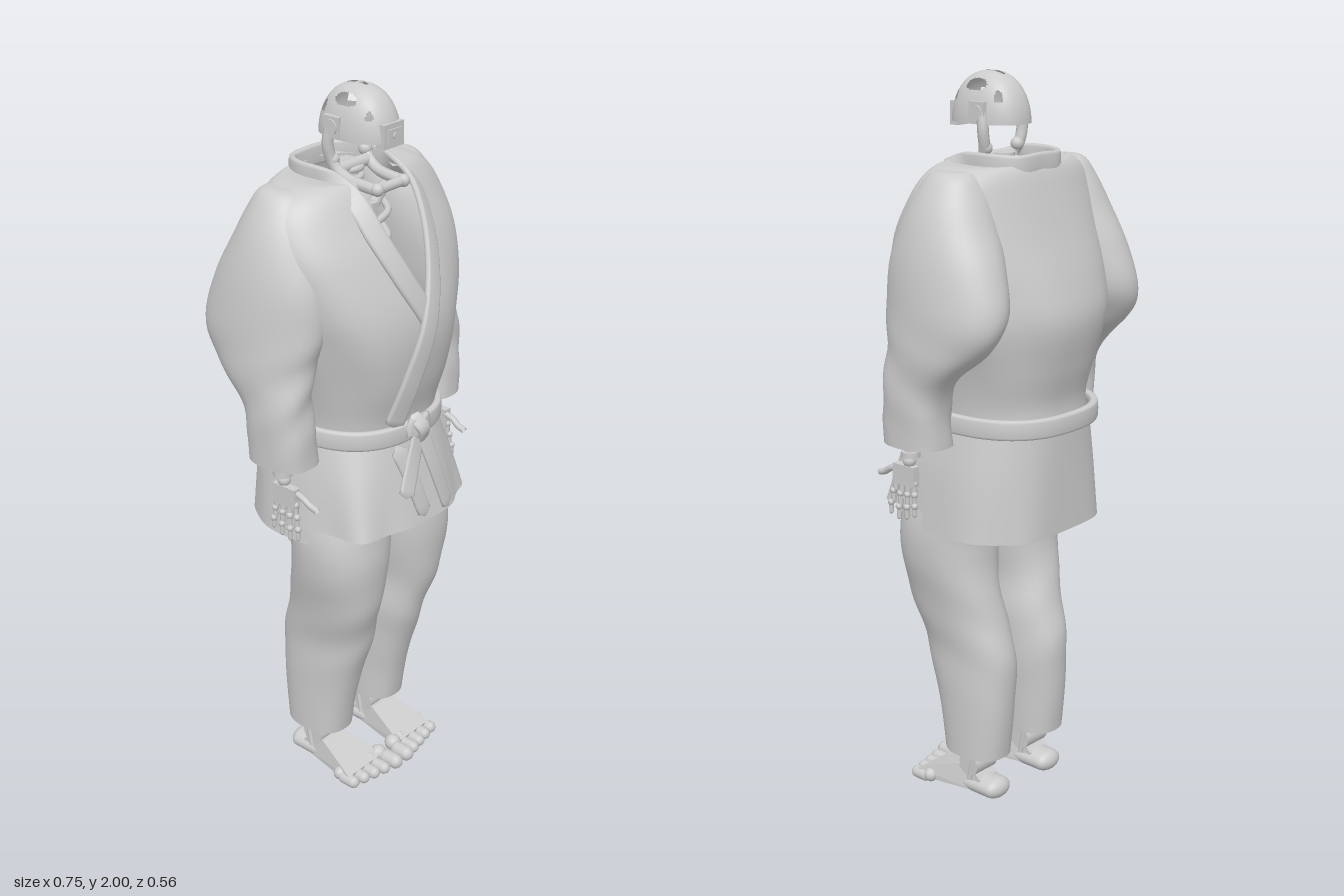
import * as THREE from 'three';

const grey = new THREE.MeshStandardMaterial({ color: 0xcccccc, side: THREE.DoubleSide });
grey.name = 'plain grey';
const V = (x, y, z) => new THREE.Vector3(x, y, z);
const spow = (v, p) => Math.sign(v) * Math.pow(Math.abs(v), p);
const { sin, cos, PI, abs, max, min } = Math;

function add(parent, name, geo, x = 0, y = 0, z = 0, rx = 0, ry = 0, rz = 0) {
  const m = new THREE.Mesh(geo, grey);
  m.name = name;
  m.position.set(x, y, z);
  m.rotation.set(rx, ry, rz);
  parent.add(m);
  return m;
}

// Smooth surface from fn(u, v) -> Vector3; wraps round in v when closed
function grid(nu, nv, fn, closed = true, skip = null) {
  const pos = [], idx = [], cols = closed ? nv : nv + 1;
  for (let i = 0; i <= nu; i++)
    for (let j = 0; j < cols; j++) pos.push(...fn(i / nu, j / nv).toArray());
  for (let i = 0; i < nu; i++)
    for (let j = 0; j < nv; j++) {
      if (skip && skip(fn((i + 0.5) / nu, (j + 0.5) / nv))) continue;
      const a = i * cols + j, b = i * cols + (j + 1) % cols;
      idx.push(a, b, b + cols, a, b + cols, a + cols);
    }
  const g = new THREE.BufferGeometry();
  g.setAttribute('position', new THREE.Float32BufferAttribute(pos, 3));
  g.setIndex(idx);
  g.computeVertexNormals();
  return g;
}

// Smoothly interpolated row of a table of cross-sections
function rowAt(rows, u) {
  const f = u * (rows.length - 1), i = min(Math.floor(f), rows.length - 2), t = f - i;
  const r = k => rows[max(0, min(rows.length - 1, k))];
  return rows[0].map((_, c) => {
    const a = r(i)[c], b = r(i + 1)[c];
    const m0 = (b - r(i - 1)[c]) / 2, m1 = (r(i + 2)[c] - a) / 2;
    return a + m0 * t + (3 * (b - a) - 2 * m0 - m1) * t * t + (m0 + m1 - 2 * (b - a)) * t * t * t;
  });
}

// Rows: [y, centre x, front z, back z, half width, squareness, front gap]
function section(rows, u, th, fold) {
  const [y, cx, zf, zb, rx, p] = rowAt(rows, u);
  const k = 1 + (fold ? fold(th, y) : 0);
  return V(cx + k * rx * spow(sin(th), p), y, (zf + zb) / 2 + k * (zf - zb) / 2 * spow(cos(th), p));
}
const loft = (rows, nu, nv, fold) => grid(nu, nv, (u, v) => section(rows, u, v * 2 * PI, fold));

// Soft flat band along a path, facing outward and leaning back with the upper chest
function band(points, w, t, n = 48, closed = false) {
  const c = new THREE.CatmullRomCurve3(points, closed);
  return grid(n, 12, (u, v) => {
    const p = c.getPointAt(u), T = c.getTangentAt(u);
    const lean = 0.45 * max(0, p.y - 1.4) * min(1, max(0, p.z * 8));
    const N = V(p.x, lean, p.z).normalize(), S = T.clone().cross(N).normalize();
    N.crossVectors(S, T).normalize();
    const e = (u === 0 || u === 1) && !closed ? 0.05 : 1, a = v * 2 * PI;
    return p.addScaledVector(S, w * e * spow(cos(a), 0.5)).addScaledVector(N, t * e * spow(sin(a), 0.5));
  });
}
const tube = (pts, r, n = 24) => new THREE.TubeGeometry(new THREE.CatmullRomCurve3(pts), n, r, 8);
const cyl = (a, b, h, n = 20) => new THREE.CylinderGeometry(a, b, h, n);

const torsoRows = [
  [1.08, 0, 0.20, -0.235, 0.205, 0.8, 0], [1.16, 0, 0.212, -0.228, 0.21, 0.8, 0],
  [1.26, 0, 0.24, -0.252, 0.232, 0.82, 0], [1.38, 0, 0.258, -0.274, 0.272, 0.88, 0],
  [1.48, 0, 0.247, -0.252, 0.302, 0.92, 0.004], [1.6, 0, 0.20, -0.208, 0.318, 0.92, 0.06],
  [1.69, 0, 0.15, -0.178, 0.302, 0.92, 0.085], [1.75, 0, 0.115, -0.158, 0.262, 0.9, 0.092],
  [1.776, 0, 0.095, -0.143, 0.2, 0.88, 0.09], [1.772, 0, 0.085, -0.135, 0.112, 0.8, 0.085]];
const torsoFold = (t, y) => 0.014 * sin(7 * t + 9 * y) * sin(PI * min(1, max(0, (1.72 - y) / 0.6)));

// Depth of the jacket front at a given place
function frontZ(x, y) {
  let u = 0;
  while (u < 1 && rowAt(torsoRows, u)[0] < y) u += 0.004;
  const [, , zf, zb, rx, p] = rowAt(torsoRows, min(u, 1));
  return (zf + zb) / 2 + (zf - zb) / 2 * Math.pow(max(0, 1 - Math.pow(abs(x) / rx, 2 / p)), p / 2);
}

function buildJacket(root) {
  const g = new THREE.Group();
  g.name = 'jacket';
  root.add(g);
  // Body with an open V at the front
  add(g, 'jacketBody', grid(54, 80, (u, v) => {
    const r = rowAt(torsoRows, u);
    const a = Math.asin(Math.pow(min(0.98, max(0, r[6]) / r[4]), 1 / r[5]));
    return section(torsoRows, u, a + v * (2 * PI - 2 * a), torsoFold);
  }, false));
  // Crossed lapels joined behind the neck
  const on = (x, y, d) => V(x, y, frontZ(x, y) + d);
  add(g, 'lapels', band([
    on(-0.08, 1.14, 0.008), on(-0.055, 1.28, 0.008), on(-0.01, 1.42, 0.008), on(0.05, 1.56, 0.009),
    on(0.092, 1.67, 0.009), V(0.113, 1.745, 0.10), V(0.114, 1.774, 0.02), V(0.113, 1.778, -0.08),
    V(0.078, 1.775, -0.135), V(0, 1.778, -0.143), V(-0.078, 1.775, -0.135), V(-0.113, 1.778, -0.08),
    V(-0.114, 1.774, 0.02), V(-0.116, 1.745, 0.10), on(-0.105, 1.66, 0.01), on(-0.065, 1.55, 0.009),
    on(-0.005, 1.44, 0.0), on(0.03, 1.38, -0.008)], 0.028, 0.009, 140));
  // Skirt: front and back panels with side slits
  const skirt = (name, from, to, low, zf, rx, p, amp) => {
    const rows = [[low, 0, zf, -0.24, rx, p], [(low + 1.13) / 2, 0, (zf + 0.205) / 2, -0.238, (rx + 0.21) / 2 + 0.004, (p + 0.8) / 2],
      [1.13, 0, 0.2, -0.238, 0.205, 0.8]];
    const fold = (t, y) => amp * sin(7 * t + 1) * max(0, (1.1 - y) / 0.25);
    add(g, name, grid(14, 64, (u, v) => section(rows, u, from + (to - from) * v, fold), false));
  };
  skirt('skirtFront', -1.6, 1.6, 0.855, 0.262, 0.25, 0.56, 0.035);
  skirt('skirtBack', 1.45, 2 * PI - 1.45, 0.805, 0.25, 0.252, 0.7, 0.012);
  add(g, 'skirtOverlapEdge', band([V(-0.08, 1.09, 0.22), V(-0.045, 0.98, 0.25), V(-0.01, 0.87, 0.268)], 0.022, 0.007, 12));
}

function buildBelt(root) {
  const g = new THREE.Group();
  g.name = 'belt';
  root.add(g);
  const ring = [];
  for (let i = 0; i < 28; i++) {
    const t = i / 28 * 2 * PI;
    ring.push(V(0.216 * spow(sin(t), 0.8), 1.114, -0.02 + 0.235 * spow(cos(t), 0.8)));
  }
  add(g, 'beltLoop', band(ring, 0.027, 0.012, 80, true));
  add(g, 'beltKnot', band([V(-0.045, 1.13, 0.225), V(0, 1.122, 0.238), V(0.045, 1.13, 0.225)], 0.027, 0.009, 14));
  add(g, 'knotWrap', band([V(-0.022, 1.16, 0.222), V(-0.005, 1.125, 0.25), V(0.01, 1.08, 0.236)], 0.02, 0.007, 14));
  add(g, 'beltEndRight', band([V(-0.005, 1.11, 0.234), V(-0.04, 1.04, 0.245), V(-0.085, 0.95, 0.26)], 0.024, 0.006, 16));
  add(g, 'beltEndLeft', band([V(0.005, 1.11, 0.234), V(0.035, 1.0, 0.258), V(0.08, 0.865, 0.273)], 0.024, 0.006, 16));
}

// Sleeve, hand, trouser leg and foot of one side
function buildSide(s) {
  const g = new THREE.Group();
  g.name = s > 0 ? 'leftSide' : 'rightSide';
  g.scale.x = s;
  add(g, 'sleeve', loft([
    [1.068, 0.292, 0.112, -0.075, 0.073, 0.8], [1.15, 0.298, 0.11, -0.075, 0.071, 0.8],
    [1.24, 0.3, 0.105, -0.10, 0.071, 0.85], [1.33, 0.288, 0.108, -0.2, 0.085, 0.95],
    [1.42, 0.266, 0.125, -0.248, 0.106, 1], [1.54, 0.247, 0.125, -0.218, 0.113, 1],
    [1.64, 0.228, 0.095, -0.17, 0.109, 1], [1.715, 0.215, 0.06, -0.135, 0.09, 1],
    [1.765, 0.215, 0.02, -0.1, 0.052, 1], [1.772, 0.215, -0.03, -0.05, 0.005, 1]], 48, 40,
  (t, y) => 0.035 * sin(3 * t + 45 * y) * Math.exp(-Math.pow((y - 1.25) / 0.12, 2))));
  add(g, 'trouserLeg', loft([
    [0.135, 0.113, 0.07, -0.12, 0.074, 0.85], [0.25, 0.112, 0.09, -0.133, 0.079, 0.9],
    [0.38, 0.109, 0.125, -0.14, 0.085, 0.9], [0.48, 0.11, 0.155, -0.128, 0.089, 0.9],
    [0.6, 0.125, 0.187, -0.092, 0.098, 0.9], [0.72, 0.127, 0.203, -0.072, 0.119, 0.9],
    [0.82, 0.122, 0.2, -0.08, 0.125, 0.9], [0.95, 0.108, 0.19, -0.16, 0.112, 0.9],
    [1.08, 0.1, 0.17, -0.19, 0.1, 0.9]], 50, 36,
  (t, y) => 0.022 * sin(2 * t + 34 * y) * Math.exp(-Math.pow((y - 0.5) / 0.16, 2))));

  // Mechanical hand with jointed fingers
  const hand = new THREE.Group();
  hand.name = 'hand';
  g.add(hand);
  add(hand, 'forearm', cyl(0.02, 0.016, 0.12), 0.31, 1.1, 0.03);
  add(hand, 'wrist', cyl(0.026, 0.026, 0.016), 0.31, 1.04, 0.03);
  add(hand, 'wristBall', new THREE.SphereGeometry(0.018, 14, 10), 0.31, 1.02, 0.035);
  add(hand, 'palm', new THREE.BoxGeometry(0.022, 0.056, 0.076), 0.314, 0.98, 0.045);
  for (let f = 0; f < 4; f++) {
    const z = 0.013 + f * 0.0225, len = [0.03, 0.034, 0.036, 0.033][f];
    for (let k = 0; k < 3; k++) {
      const y = 0.962 - (k + 0.5) * len, x = 0.316 + 0.003 * k, zk = z + (f - 1) * 0.003 * k;
      add(hand, 'fingerBone', new THREE.CapsuleGeometry(0.0075 - k * 0.0007, len - 0.012, 3, 8), x, y, zk);
      add(hand, 'knuckle', new THREE.SphereGeometry(0.0095, 8, 6), x, y + len / 2, zk);
    }
  }
  add(hand, 'thumb', tube([V(0.31, 0.995, 0.075), V(0.31, 0.985, 0.105), V(0.308, 0.972, 0.125), V(0.307, 0.965, 0.148)], 0.009, 12));

  // Mechanical foot
  const foot = new THREE.Group();
  foot.name = 'foot';
  g.add(foot);
  const shape = new THREE.Shape([[-0.06, 0.02], [0.14, 0.015], [0.145, 0.038], [0.1, 0.056], [0.02, 0.085], [-0.03, 0.085], [-0.06, 0.055]]
    .map(p => new THREE.Vector2(...p)));
  const geo = new THREE.ExtrudeGeometry(shape, { depth: 0.1, bevelEnabled: false });
  geo.translate(0, 0, -0.05).rotateY(-PI / 2);
  const p = geo.attributes.position;
  for (let i = 0; i < p.count; i++) p.setX(i, p.getX(i) * (0.75 + max(0, p.getZ(i)) * 5));
  geo.computeVertexNormals();
  add(foot, 'instep', geo, 0.11, 0, 0);
  const sole = add(foot, 'heelAndSole', new THREE.CapsuleGeometry(0.03, 0.17, 8, 18), 0.11, 0.032, -0.005, PI / 2);
  sole.scale.set(1.55, 1, 1);
  for (let t = 0; t < 5; t++) {
    const big = t === 0, r = big ? 0.022 : 0.018;
    add(foot, 'toe', new THREE.CapsuleGeometry(r, 0.032, 5, 12), 0.03 + t * 0.036 + (big ? -0.005 : 0), r + 0.003, 0.17 - t * 0.008, PI / 2, 0, 0);
    add(foot, 'toeJoint', new THREE.SphereGeometry(r * 1.12, 12, 8), 0.033 + t * 0.035, r + 0.01, 0.128 - t * 0.006);
  }
  add(foot, 'ankleJoint', cyl(0.034, 0.034, 0.085), 0.11, 0.095, -0.022, 0, 0, PI / 2);
  add(foot, 'shin', cyl(0.026, 0.03, 0.2), 0.11, 0.19, -0.025);
  for (const d of [-1, 1]) add(foot, 'ankleRod', cyl(0.008, 0.008, 0.14, 10), 0.11 + d * 0.04, 0.12, -0.04, -0.2, 0, 0);
  return g;
}

function buildHead(root) {
  const g = new THREE.Group();
  g.name = 'head';
  root.add(g);
  // Dome with vent slots: [x, z, half x, half z]
  const slots = [[0.054, 0.025, 0.01, 0.034], [0.054, -0.05, 0.01, 0.013], [0.054, 0.1, 0.01, 0.01], [0, 0.015, 0.008, 0.04]];
  add(g, 'skullDome', grid(56, 112, (u, v) => {
    const a = u * PI / 2, t = v * 2 * PI;
    return V(0.08 * spow(cos(a), 0.85) * spow(sin(t), 0.88), 1.87 + 0.13 * sin(a), 0.023 + 0.112 * spow(cos(a), 0.85) * spow(cos(t), 0.88));
  }, true, q => q.y > 1.925 && slots.some(([x, z, a, b]) => ((abs(q.x) - x) / a) ** 2 + ((q.z - z) / b) ** 2 < 1)));
  add(g, 'crownBar', new THREE.BoxGeometry(0.018, 0.012, 0.012), 0, 1.994, 0.02);
  add(g, 'faceBox', new THREE.BoxGeometry(0.075, 0.062, 0.026), 0, 1.887, 0.122);
  add(g, 'faceFrame', new THREE.BoxGeometry(0.05, 0.035, 0.006), 0, 1.887, 0.136);
  add(g, 'faceLens', cyl(0.009, 0.009, 0.006), 0, 1.887, 0.14, PI / 2);
  for (const s of [-1, 1]) {
    add(g, 'earHousing', new THREE.BoxGeometry(0.014, 0.055, 0.05), s * 0.077, 1.9, 0.002);
    add(g, 'earDisc', cyl(0.02, 0.02, 0.014), s * 0.081, 1.9, 0.002, 0, 0, PI / 2);
    add(g, 'jawPivot', new THREE.SphereGeometry(0.018, 14, 10), s * 0.062, 1.81, -0.012);
    add(g, 'chinBall', new THREE.SphereGeometry(0.017, 14, 10), s * 0.05, 1.757, 0.125);
    add(g, 'jawStrut', tube([V(s * 0.074, 1.9, -0.01), V(s * 0.076, 1.85, -0.016), V(s * 0.064, 1.8, -0.008), V(s * 0.056, 1.768, 0.03), V(s * 0.05, 1.755, 0.12)], 0.015));
  }
  add(g, 'chinBar', cyl(0.013, 0.013, 0.1), 0, 1.757, 0.125, 0, 0, PI / 2);
  add(g, 'jawCrossbar', cyl(0.016, 0.016, 0.12), 0, 1.785, 0, 0, 0, PI / 2);
  // Ringed neck
  add(g, 'neckCore', cyl(0.028, 0.034, 0.14), 0, 1.725, -0.02);
  for (let i = 0; i < 5; i++) add(g, 'neckRing', new THREE.TorusGeometry(0.037, 0.009, 8, 24), 0, 1.68 + i * 0.024, -0.02, PI / 2);
}

// Frame inside the open collar
function buildChest(root) {
  const g = new THREE.Group();
  g.name = 'chestFrame';
  root.add(g);
  add(g, 'spine', cyl(0.025, 0.025, 0.62), 0, 1.38, -0.08);
  add(g, 'sternum', new THREE.BoxGeometry(0.02, 0.2, 0.014), 0, 1.6, 0.07);
  for (const s of [-1, 1]) {
    add(g, 'collarbone', tube([V(s * 0.01, 1.69, 0.06), V(s * 0.07, 1.715, 0.04), V(s * 0.16, 1.7, 0)], 0.016));
    for (let i = 0; i < 2; i++) {
      const y = 1.64 - i * 0.07;
      add(g, 'rib', tube([V(0, y, 0.07), V(s * 0.08, y + 0.012, 0.05), V(s * 0.12, y + 0.02, 0)], 0.01));
    }
  }
  const plate = add(g, 'shoulderPlate', cyl(0.06, 0.105, 0.05, 12), 0, 1.71, -0.035);
  plate.scale.z = 0.9;
}

export function createModel() {
  const root = new THREE.Group();
  root.name = 'robedFigure';
  buildHead(root);
  buildChest(root);
  buildJacket(root);
  buildBelt(root);
  root.add(buildSide(1), buildSide(-1));
  return root;
}
